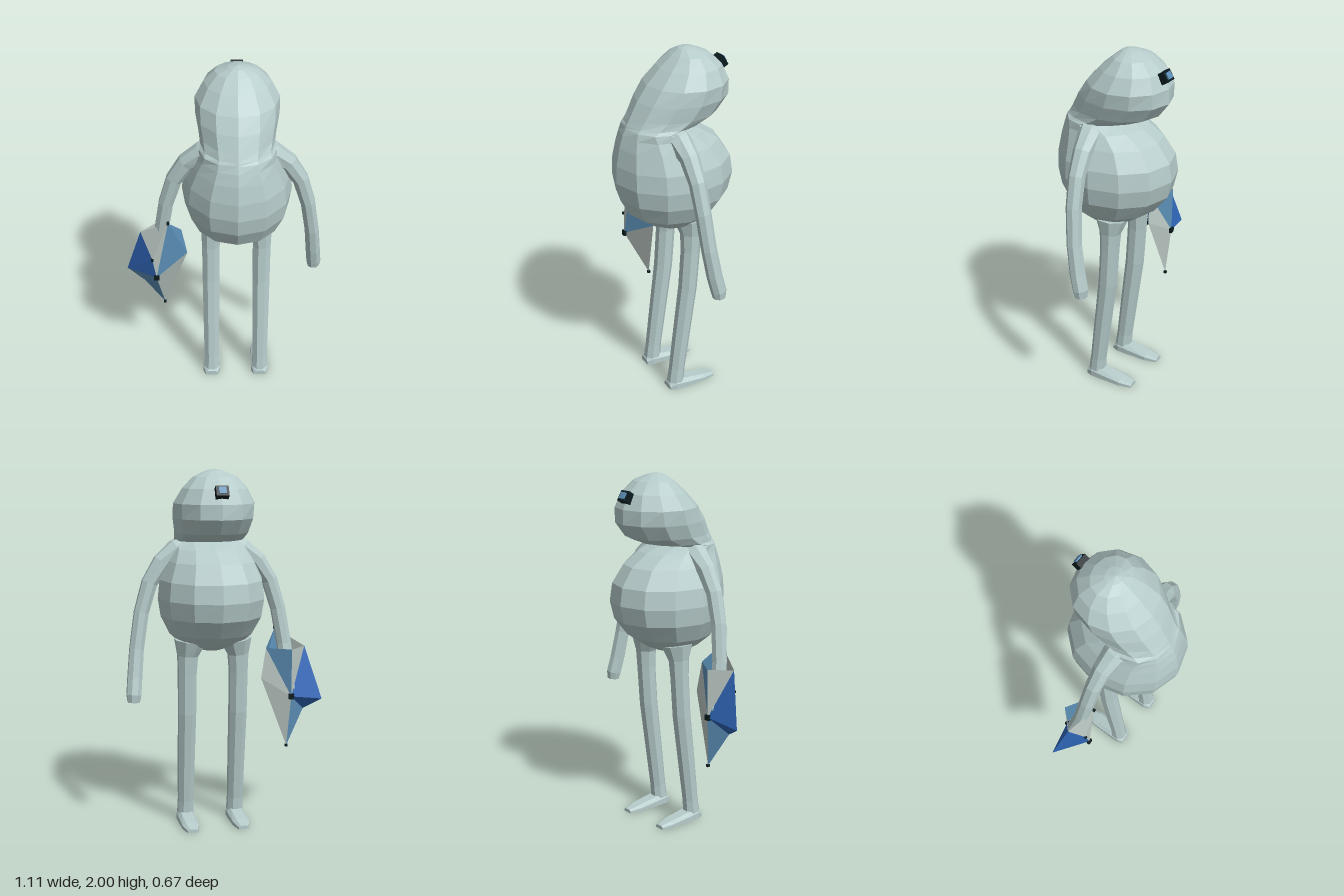
import * as THREE from 'three';

const CX = 0.07; // the figure's own centre line

function material(name, color, extra = {}) {
  const m = new THREE.MeshStandardMaterial({ color, flatShading: true, ...extra });
  m.name = name;
  return m;
}

// Closed skin through equal-sized rings of points, counter-clockwise about the path
function loft(rings) {
  const n = rings[0].length, pos = [], idx = [];
  rings.forEach(r => r.forEach(p => pos.push(p.x, p.y, p.z)));
  for (let i = 0; i < rings.length - 1; i++) {
    for (let j = 0; j < n; j++) {
      const k = (j + 1) % n, a = i * n + j, b = i * n + k;
      idx.push(a, b, b + n, a, b + n, a + n);
    }
  }
  [0, rings.length - 1].forEach((r, end) => {
    const c = rings[r].reduce((s, p) => s.add(p), new THREE.Vector3()).divideScalar(n);
    const ci = pos.length / 3;
    pos.push(c.x, c.y, c.z);
    for (let j = 0; j < n; j++) {
      const a = r * n + j, b = r * n + (j + 1) % n;
      end ? idx.push(ci, a, b) : idx.push(ci, b, a);
    }
  });
  const g = new THREE.BufferGeometry();
  g.setAttribute('position', new THREE.Float32BufferAttribute(pos, 3));
  g.setIndex(idx);
  g.computeVertexNormals();
  return g;
}

// Tapering limb along [offset, y, z, radius] points on one side of the centre line
function limb(side, points, sides = 8) {
  const path = points.map(([dx, y, z]) => new THREE.Vector3(CX + side * dx, y, z));
  return loft(path.map((p, i) => {
    const t = path[Math.min(i + 1, path.length - 1)].clone().sub(path[Math.max(i - 1, 0)]).normalize();
    const u = t.clone().cross(new THREE.Vector3(0, 0, 1)).normalize();
    const v = t.clone().cross(u);
    return Array.from({ length: sides }, (_, j) => {
      const a = (j + 0.5) / sides * Math.PI * 2, r = points[i][3];
      return p.clone().addScaledVector(u, r * Math.cos(a)).addScaledVector(v, r * Math.sin(a));
    });
  }));
}

export function createModel() {
  const root = new THREE.Group();
  root.name = 'standingFigure';
  const skin = material('paleSkin', 0xb6cccb);
  const black = material('nearBlack', 0x0a1a1e);
  const steel = material('steelBlue', 0x5c90b8, { side: THREE.DoubleSide });
  const blue = material('deepBlue', 0x2f66b8, { side: THREE.DoubleSide });
  const paper = material('paleGrey', 0xb9c6c2, { side: THREE.DoubleSide });
  const add = (name, geo, mat, parent = root) => {
    const m = new THREE.Mesh(geo, mat);
    m.name = name;
    parent.add(m);
    return m;
  };

  // Round belly and bowed head: [y, z near, z far, half width]
  const body = [
    [1.005, -0.06, 0.08, 0.06], [1.04, -0.14, 0.17, 0.17], [1.1, -0.23, 0.26, 0.235],
    [1.2, -0.31, 0.315, 0.285], [1.3, -0.335, 0.335, 0.3], [1.4, -0.32, 0.332, 0.288],
    [1.5, -0.25, 0.315, 0.247], [1.565, -0.15, 0.295, 0.215], [1.605, -0.05, 0.277, 0.2],
    [1.62, -0.15, 0.27, 0.197], [1.66, -0.25, 0.25, 0.205], [1.74, -0.31, 0.208, 0.222],
    [1.82, -0.307, 0.152, 0.224], [1.9, -0.27, 0.075, 0.178], [1.96, -0.2, 0.005, 0.12],
    [1.99, -0.13, -0.035, 0.05],
    [2.0, -0.08, -0.07, 0.005],
  ];
  add('bodyAndHead', loft(body.map(([y, z0, z1, w]) => Array.from({ length: 12 }, (_, j) => {
    const a = j / 12 * Math.PI * 2;
    return new THREE.Vector3(CX + w * Math.sin(a), y, (z0 + z1) / 2 + (z1 - z0) / 2 * Math.cos(a));
  }))), skin);

  for (const [s, label] of [[1, 'left'], [-1, 'right']]) {
    // Arm with blunt hand
    add(label + 'Arm', limb(s, [
      [0.1, 1.56, 0.08, 0.1], [0.19, 1.55, 0.055, 0.066], [0.27, 1.49, 0.045, 0.053],
      [0.34, 1.38, 0.038, 0.046], [0.388, 1.22, 0.028, 0.043], [0.42, 1.02, 0.008, 0.042],
      [0.436, 0.86, -0.02, 0.043], [0.445, 0.77, -0.042, 0.043], [0.447, 0.73, -0.045, 0.035],
    ]), skin);
    // Leg
    add(label + 'Leg', limb(s, [
      [0.145, 0.02, 0.055, 0.05], [0.145, 0.12, 0.045, 0.046], [0.145, 0.32, 0.02, 0.049],
      [0.145, 0.65, -0.022, 0.053], [0.145, 0.88, -0.037, 0.054],
      [0.143, 0.98, -0.04, 0.06], [0.13, 1.06, -0.04, 0.09],
    ]), skin);
    // Wedge foot: [z, half width, top height]
    const foot = [[0.105, 0.036, 0.03], [0.07, 0.05, 0.06], [0, 0.05, 0.05], [-0.12, 0.047, 0.034], [-0.19, 0.028, 0.02]];
    add(label + 'Foot', loft(foot.map(([z, w, h]) =>
      [[1, 0], [-1, 0], [-1, 0.6], [-0.6, 1], [0.6, 1], [1, 0.6]]
        .map(([x, y]) => new THREE.Vector3(CX + s * 0.145 + x * w, y * h, z)))), skin);
  }

  // Square eye on the brow
  const eye = new THREE.Group();
  eye.name = 'eye';
  eye.position.set(CX, 1.885, -0.287);
  eye.rotation.x = 0.55;
  root.add(eye);
  add('eyeFrame', new THREE.BoxGeometry(0.068, 0.06, 0.04), black, eye);
  add('eyeLens', new THREE.BoxGeometry(0.04, 0.036, 0.012), steel, eye).position.z = -0.022;

  // Faceted bag around the right hand
  const P = {
    peak: [-0.31, 1.1, 0.06], rim: [-0.24, 1.0, -0.02], corner: [-0.47, 1.0, 0.0], back: [-0.37, 1.0, -0.1],
    front: [-0.385, 0.73, 0.075], rear: [-0.37, 0.73, -0.095], side: [-0.21, 0.83, -0.03],
    tip: [-0.56, 0.7, -0.06], notch: [-0.46, 0.64, -0.02], foot: [-0.35, 0.44, -0.07],
    mid: [-0.405, 0.85, 0.065],
  };
  const facets = (name, mat, list) => {
    const g = new THREE.BufferGeometry();
    g.setAttribute('position', new THREE.Float32BufferAttribute(
      list.flatMap(f => f.split(' ').flatMap(k => P[k])), 3));
    g.computeVertexNormals();
    add(name, g, mat, bag);
  };
  const bag = new THREE.Group();
  bag.name = 'bag';
  root.add(bag);
  facets('steelFacets', steel, ['peak front side', 'peak side rim', 'front notch foot',
    'back rear rim', 'rear foot notch']);
  facets('blueFacets', blue, ['corner tip mid', 'tip front mid', 'corner rear tip', 'rear notch tip']);
  facets('darkerFold', steel, ['tip notch front']);
  facets('greyFacets', paper, ['peak corner mid', 'peak mid front', 'side front foot',
    'rim rear side', 'side rear foot', 'back corner rear']);

  // Dark knots at the bag's folds
  for (const k of ['front', 'rear', 'mid', 'peak', 'foot']) {
    const size = k === 'front' || k === 'rear' ? 0.03 : 0.014;
    add('knot', new THREE.BoxGeometry(size, size, 0.016), black, bag).position.set(...P[k]);
  }
  return root;
}
